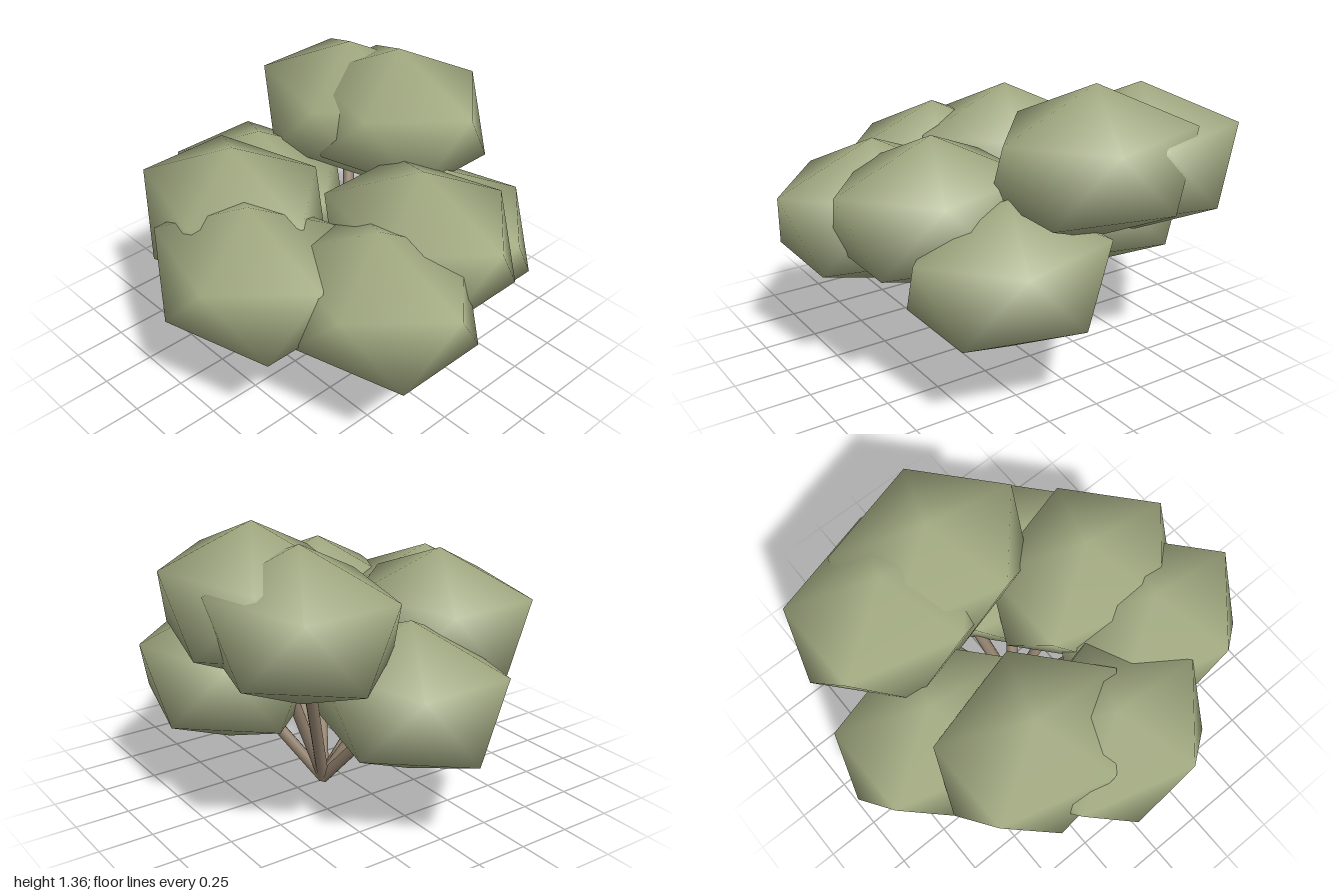
import * as THREE from 'three';

// Faceted foliage clump: two poles and two staggered five-point rings, smooth shaded
function clumpGeometry(rx, ry, rz) {
  const c = 1 / Math.sqrt(5), s = 2 / Math.sqrt(5);
  const pos = [0, ry, 0, 0, -ry, 0];
  for (let ring = 0; ring < 2; ring++) {
    for (let i = 0; i < 5; i++) {
      const a = (i + ring / 2) * Math.PI * 2 / 5;
      pos.push(rx * s * Math.cos(a), ry * c * (ring ? -1 : 1), rz * s * Math.sin(a));
    }
  }
  const index = [];
  for (let i = 0; i < 5; i++) {
    const j = (i + 1) % 5;
    const a0 = 2 + i, a1 = 2 + j, b0 = 7 + i, b1 = 7 + j;
    index.push(0, a1, a0, a0, a1, b0, b0, a1, b1, b0, b1, 1);
  }
  const g = new THREE.BufferGeometry();
  g.setAttribute('position', new THREE.Float32BufferAttribute(pos, 3));
  g.setIndex(index);
  g.computeVertexNormals();
  return g;
}

export function createModel() {
  const shrub = new THREE.Group();
  shrub.name = 'shrub';
  const leafMat = new THREE.MeshStandardMaterial({ color: 0xa3ab82 });
  const stemMat = new THREE.MeshStandardMaterial({ color: 0x94836f });
  const leafGeo = clumpGeometry(0.515, 0.342, 0.428);
  const root = new THREE.Vector3(-0.01, 0.015, -0.11);
  const up = new THREE.Vector3(0, 1, 0);

  // Clump centres
  const centres = [
    [0.05, 0.71, 0.53], [-0.26, 0.79, 0.36], [-0.54, 0.60, -0.02], [0.53, 0.69, 0.23],
    [0.43, 0.78, -0.12], [0.26, 0.565, -0.46], [-0.12, 1.015, -0.53], [-0.40, 0.97, -0.48],
  ];
  centres.forEach((p, i) => {
    const centre = new THREE.Vector3(...p);
    const clump = new THREE.Mesh(leafGeo, leafMat);
    clump.name = `foliageClump${i + 1}`;
    clump.position.copy(centre);

    // Straight stem from the shared root into the clump
    const dir = centre.clone().sub(root);
    const stem = new THREE.Mesh(new THREE.CylinderGeometry(0.028, 0.028, dir.length(), 8), stemMat);
    stem.name = `stem${i + 1}`;
    stem.position.copy(root).addScaledVector(dir, 0.5);
    stem.quaternion.setFromUnitVectors(up, dir.normalize());
    shrub.add(clump, stem);
  });
  return shrub;
}
